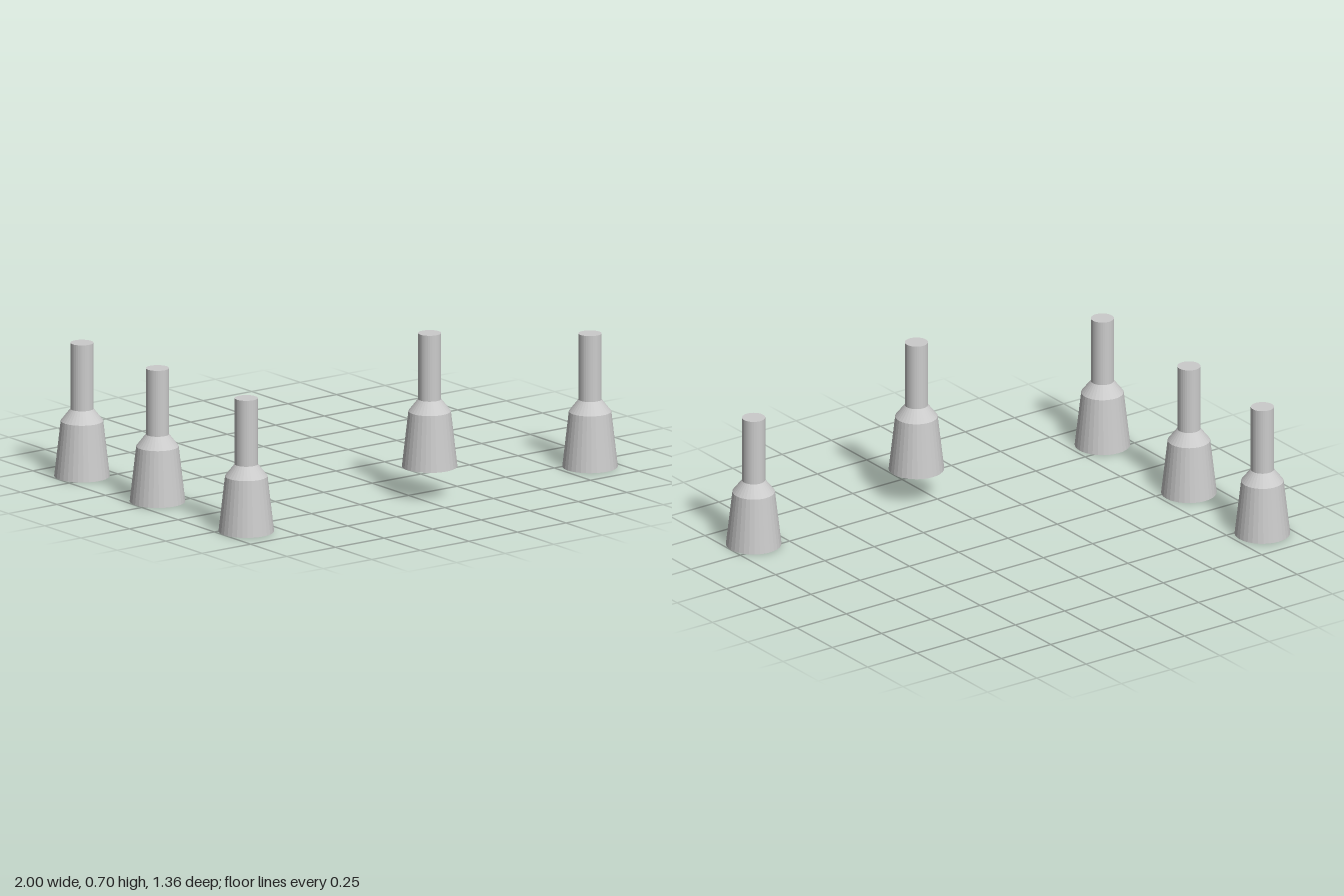
import * as THREE from 'three';

const SIDES = 32;

export function createModel() {
  const model = new THREE.Group();
  const material = new THREE.MeshStandardMaterial({ color: 0xcccccc, flatShading: true });

  // Closed profile: base, tapered skirt, sloped shoulder, straight stem, flat cap
  const profile = [
    [0, 0], [0.115, 0], [0.088, 0.235], [0.048, 0.286], [0.048, 0.567], [0, 0.567],
  ].map(([r, y]) => new THREE.Vector2(r, y));
  const geometry = new THREE.LatheGeometry(profile, SIDES);

  // One peg per spot; the front middle one is raised
  const spots = {
    backRightPeg: [-0.885, 0, -0.566],
    middleRightPeg: [-0.885, 0, -0.046],
    frontRightPeg: [-0.885, 0, 0.566],
    raisedFrontPeg: [0.059, 0.13, 0.566],
    frontLeftPeg: [0.885, 0, 0.566],
  };
  for (const [name, position] of Object.entries(spots)) {
    const peg = new THREE.Mesh(geometry, material);
    peg.name = name;
    peg.position.set(...position);
    model.add(peg);
  }
  return model;
}
